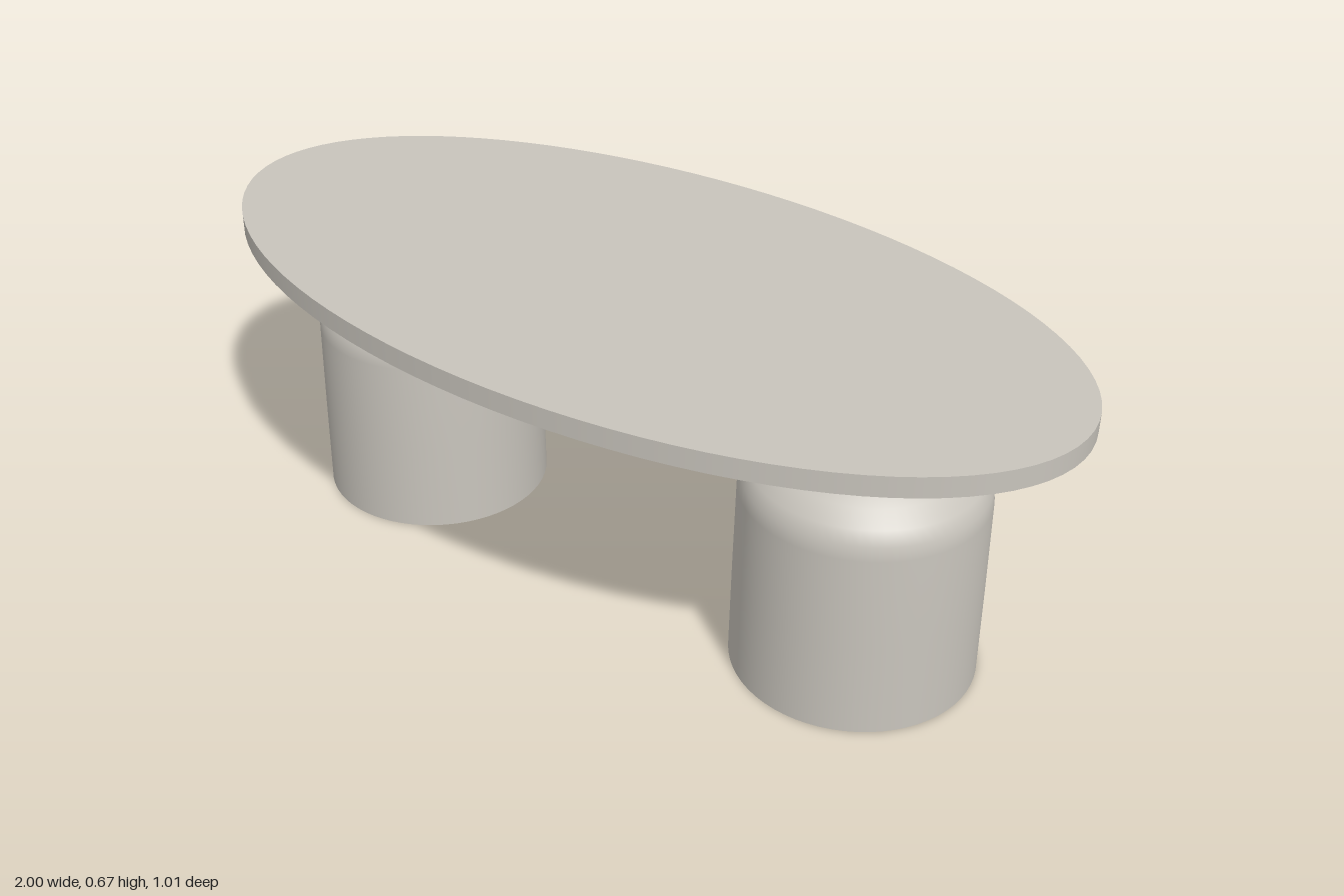
import * as THREE from 'three';

const stone = new THREE.MeshStandardMaterial({ color: 0xc8c4bc });
stone.name = 'warm grey stone';

const SEGMENTS = 64;

function addMesh(parent, name, geometry) {
  const mesh = new THREE.Mesh(geometry, stone);
  mesh.name = name;
  parent.add(mesh);
  return mesh;
}

// Smoothly turned solid from [radius, height] pairs, lowest first
function turned(profile) {
  return new THREE.LatheGeometry(profile.map(([r, y]) => new THREE.Vector2(r, y)), SEGMENTS);
}

// Domed pedestal with a shallow bowl resting on it
function createLeg(name, x) {
  const leg = new THREE.Group();
  leg.name = name;
  leg.position.set(x, 0, 0.005);

  addMesh(leg, 'pedestal', turned([
    [0.252, 0], [0.25, 0.2], [0.247, 0.4], [0.243, 0.43], [0.23, 0.458], [0.2, 0.487],
    [0.15, 0.516], [0.1, 0.533], [0.05, 0.541], [0, 0.542],
  ]));
  addMesh(leg, 'pedestalBase', new THREE.CircleGeometry(0.252, SEGMENTS).rotateX(Math.PI / 2));

  addMesh(leg, 'bowl', turned([
    [0, 0.54], [0.06, 0.541], [0.1, 0.549], [0.15, 0.565], [0.2, 0.593], [0.237, 0.629],
  ]));
  return leg;
}

export function createModel() {
  const table = new THREE.Group();
  table.name = 'table';

  // Oval top
  const top = addMesh(table, 'tableTop',
    new THREE.CylinderGeometry(1, 1, 0.043, 96).scale(1, 1, 0.505));
  top.position.y = 0.6485;

  table.add(createLeg('rightLeg', -0.56), createLeg('leftLeg', 0.577));
  return table;
}
